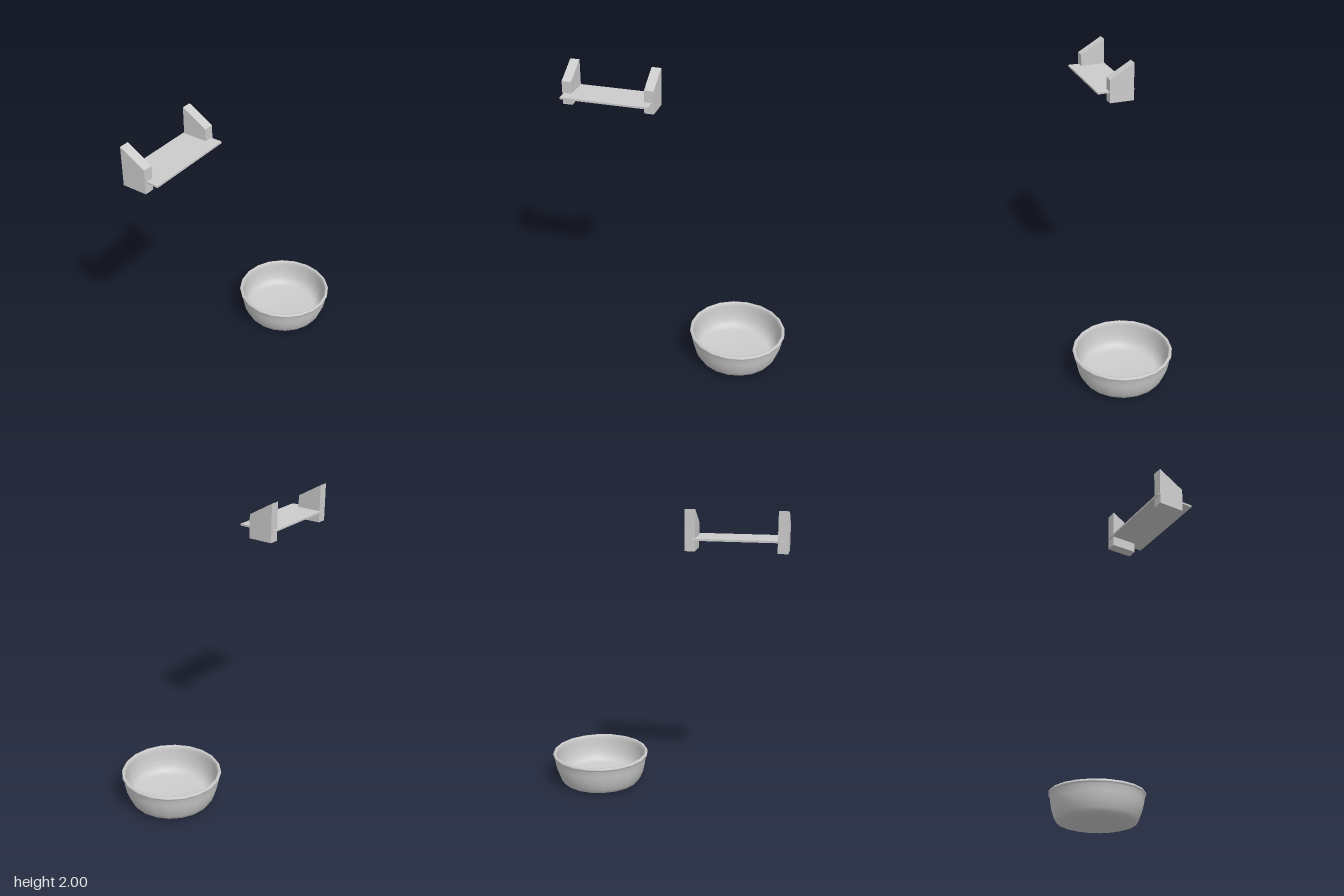
import * as THREE from 'three';

const grey = new THREE.MeshStandardMaterial({ color: 0xcccccc });

function addMesh(parent, name, geometry) {
  const mesh = new THREE.Mesh(geometry, grey);
  mesh.name = name;
  parent.add(mesh);
  return mesh;
}

export function createModel() {
  const model = new THREE.Group();

  // Round bowl: outer wall from the base up, over the rolled rim, down to the inner floor
  const profile = [
    [0, 0.0], [0.24, 0.004], [0.275, 0.016], [0.293, 0.045], [0.312, 0.095],
    [0.324, 0.15], [0.328, 0.195], [0.338, 0.203], [0.34, 0.212], [0.334, 0.222],
    [0.322, 0.222], [0.316, 0.212], [0.313, 0.19], [0.308, 0.14], [0.296, 0.09],
    [0.276, 0.048], [0.24, 0.028], [0, 0.022],
  ].map(([r, y]) => new THREE.Vector2(r, y));
  const bowl = addMesh(model, 'bowl', new THREE.LatheGeometry(profile, 20));
  bowl.position.x = 0.48;

  // Wall shelf
  const shelf = new THREE.Group();
  shelf.name = 'wallShelf';
  shelf.position.x = -0.5;
  model.add(shelf);

  // Thin board
  const board = addMesh(shelf, 'shelfBoard', new THREE.BoxGeometry(0.62, 0.013, 0.262));
  board.position.set(0, 1.811, -0.199);

  // Two wedge-topped brackets; the side profile is drawn as (-z, y) and turned to face x
  const width = 0.067;
  const side = new THREE.Shape([
    new THREE.Vector2(0.15, 1.737), new THREE.Vector2(0.322, 1.737),
    new THREE.Vector2(0.322, 2.0), new THREE.Vector2(0.15, 1.9),
  ]);
  const bracketGeometry = new THREE.ExtrudeGeometry(side, { depth: width, bevelEnabled: false })
    .translate(0, 0, -width / 2)
    .rotateY(Math.PI / 2);
  for (const [name, x] of [['leftBracket', 0.29], ['rightBracket', -0.29]]) {
    addMesh(shelf, name, bracketGeometry).position.x = x;
  }

  return model;
}
